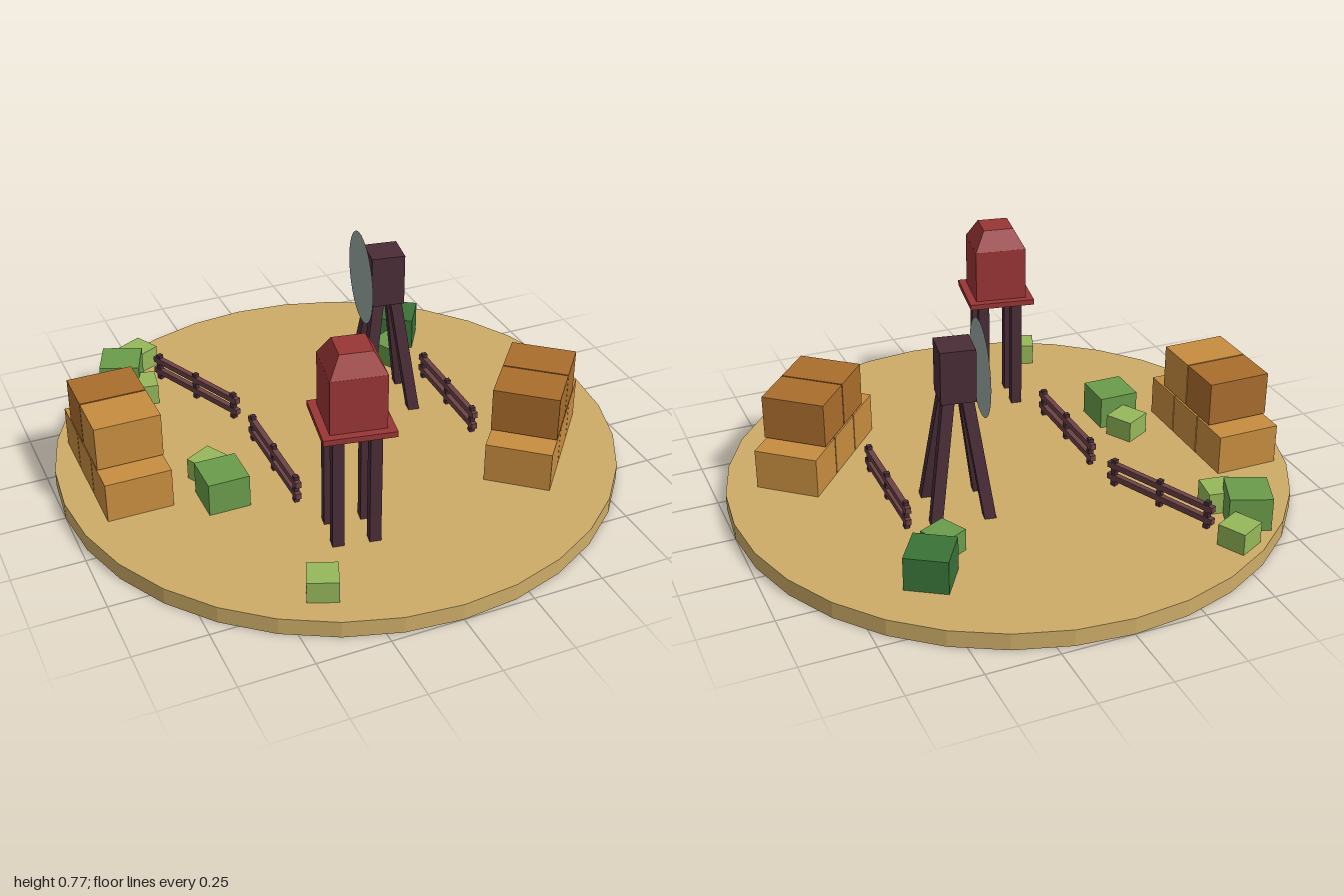
import * as THREE from 'three';

const mat = (name, color, extra = {}) => {
  const m = new THREE.MeshStandardMaterial({ color, ...extra });
  m.name = name;
  return m;
};

export function createModel() {
  const root = new THREE.Group();
  const GROUND = 0.06;
  const sand = mat('sand', 0xcdac68);
  const crateLight = mat('light crate wood', 0xc88d40);
  const crateDark = mat('dark crate wood', 0xaa6d2d);
  const red = mat('tank red', 0x993536);
  const timber = mat('dark timber', 0x4a2d38);
  const railWood = mat('fence wood', 0x6b4244);
  const steel = mat('wheel grey', 0x98a5a2, { side: THREE.DoubleSide });
  const greenLight = mat('light green', 0x95b75a);
  const greenMid = mat('mid green', 0x6a9b4a);
  const greenDark = mat('dark green', 0x3a7338);

  const add = (parent, name, geo, material, x = 0, y = 0, z = 0) => {
    const m = new THREE.Mesh(geo, material);
    m.name = name;
    m.position.set(x, y, z);
    parent.add(m);
    return m;
  };
  const box = (parent, name, material, w, h, d, x, y, z) =>
    add(parent, name, new THREE.BoxGeometry(w, h, d), material, x, y, z);
  const group = (name, x, z, turn) => {
    const g = new THREE.Group();
    g.name = name;
    g.position.set(x, 0, z);
    g.rotation.y = turn;
    root.add(g);
    return g;
  };
  const corners = [[-1, -1], [1, -1], [1, 1], [-1, 1]];

  // Round ground disc
  const ground = new THREE.CylinderGeometry(1, 1, GROUND, 32).toNonIndexed();
  ground.computeVertexNormals();
  add(root, 'ground', ground, sand, 0, GROUND / 2, 0);

  // Water tower: legs, rim plate, square tank and tapered roof
  const tower = group('waterTower', -0.168, 0.512, -0.18);
  for (const [sx, sz] of corners)
    box(tower, 'towerLeg', timber, 0.039, 0.43, 0.039, sx * 0.062, 0.275, sz * 0.062);
  box(tower, 'tankRim', red, 0.24, 0.02, 0.24, 0, 0.497, 0);
  box(tower, 'tank', red, 0.186, 0.195, 0.186, 0, 0.603, 0);
  const roof = new THREE.CylinderGeometry(0.11 / Math.SQRT2, 0.186 / Math.SQRT2, 0.07, 4).toNonIndexed();
  roof.rotateY(Math.PI / 4);
  roof.computeVertexNormals();
  add(tower, 'tankRoof', roof, red, 0, 0.735, 0);

  // Wind pump: splayed legs, square head and flat round wheel
  const pump = group('windPump', 0.266, -0.18, -0.17);
  for (const [sx, sz] of corners) {
    const foot = new THREE.Vector3(sx * 0.093, GROUND - 0.005, sz * 0.093);
    const dir = new THREE.Vector3(sx * 0.028, 0.52, sz * 0.028).sub(foot);
    const leg = box(pump, 'pumpLeg', timber, 0.04, dir.length(), 0.04, 0, 0, 0);
    leg.position.copy(foot).addScaledVector(dir, 0.5);
    leg.quaternion.setFromUnitVectors(new THREE.Vector3(0, 1, 0), dir.normalize());
  }
  box(pump, 'pumpHead', timber, 0.12, 0.19, 0.12, 0, 0.58, 0);
  const wheel = add(pump, 'pumpWheel', new THREE.CircleGeometry(0.167, 32), steel, -0.085, 0.578, 0);
  wheel.rotation.y = Math.PI / 2;

  // Crate stacks: three below, two above
  const crateStack = (x, z, turn, topMaterials) => {
    const g = group('crateStack', x, z, turn);
    for (const i of [-1, 0, 1])
      box(g, 'lowerCrate', crateLight, 0.23, 0.145, 0.165, 0, 0.1325, i * 0.17);
    topMaterials.forEach((m, i) =>
      box(g, 'upperCrate', m, 0.23, 0.16, 0.165, 0, 0.293, (i - 0.5) * 0.17));
  };
  crateStack(-0.777, -0.098, 0, [crateDark, crateLight]);
  crateStack(0.615, 0.322, -0.7, [crateDark, crateDark]);

  // Scrub blocks: material, x, z, width, height, turn
  for (const [m, x, z, w, h, turn] of [
    [greenLight, -0.5, -0.765, 0.103, 0.078, 0.47],
    [greenLight, -0.555, -0.53, 0.105, 0.078, -0.16],
    [greenLight, -0.497, 0.045, 0.105, 0.078, 0.5],
    [greenLight, -0.38, 0.77, 0.103, 0.078, -0.38],
    [greenMid, -0.6, -0.645, 0.146, 0.12, -0.38],
    [greenMid, -0.498, 0.185, 0.146, 0.12, 0],
    [greenMid, 0.41, -0.425, 0.105, 0.08, 0.46],
    [greenDark, 0.503, -0.56, 0.148, 0.12, -0.57],
  ]) box(group('scrub', x, z, turn), 'scrubBlock', m, w, h, w, 0, GROUND + h / 2, 0);

  // Low fences: three posts and two rails each
  for (const [x, z, turn] of [[-0.37, -0.455, 0.414], [-0.275, 0.095, 0], [0.47, -0.045, -0.015]]) {
    const g = group('fence', x, z, turn);
    for (const i of [-1, 0, 1])
      box(g, 'fencePost', timber, 0.018, 0.105, 0.018, 0, GROUND + 0.05, i * 0.2);
    for (const y of [0.092, 0.138])
      box(g, 'fenceRail', railWood, 0.02, 0.022, 0.45, 0, y, 0);
  }
  return root;
}
